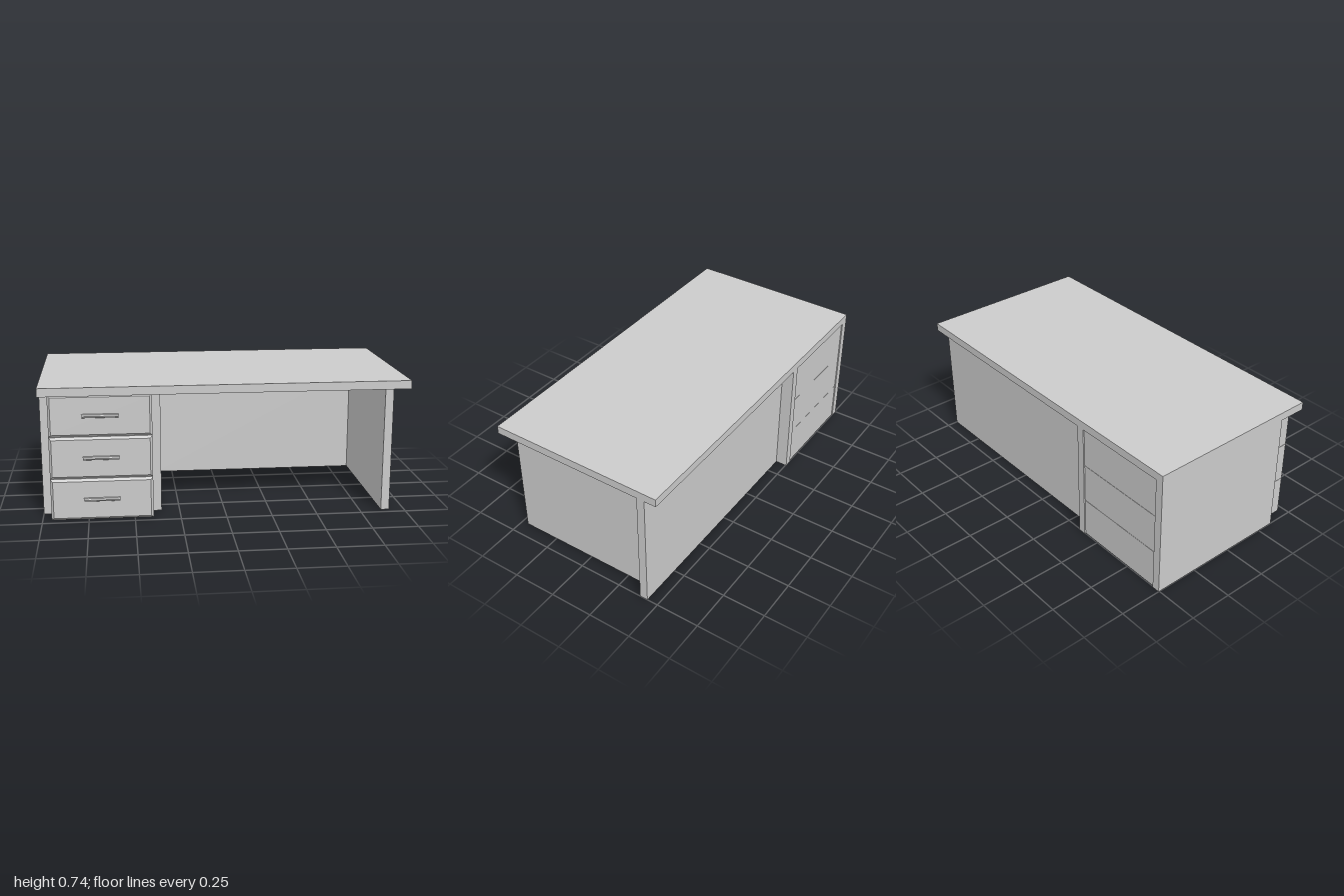
import * as THREE from 'three';

const material = new THREE.MeshStandardMaterial({ color: 0xcccccc, flatShading: true });

// Box given by its min and max on each axis
function panel(name, [x0, x1], [y0, y1], [z0, z1]) {
  const mesh = new THREE.Mesh(new THREE.BoxGeometry(x1 - x0, y1 - y0, z1 - z0), material);
  mesh.position.set((x0 + x1) / 2, (y0 + y1) / 2, (z0 + z1) / 2);
  mesh.name = name;
  return mesh;
}

// Box whose front face is inset to leave a chamfered edge
function drawerGeometry(w, h, d, bevel) {
  const geometry = new THREE.BoxGeometry(w, h, d, 1, 1, 2);
  const p = geometry.attributes.position;
  for (let i = 0; i < p.count; i++) {
    const z = p.getZ(i);
    if (Math.abs(z) < 1e-4) p.setZ(i, d / 2 - bevel);
    if (z > d / 4) {
      p.setX(i, Math.sign(p.getX(i)) * (w / 2 - bevel));
      p.setY(i, Math.sign(p.getY(i)) * (h / 2 - bevel));
    }
  }
  const flat = geometry.toNonIndexed();
  flat.computeVertexNormals();
  return flat;
}

export function createModel() {
  const desk = new THREE.Group();
  desk.name = 'desk';

  // Top, uprights and modesty panel
  desk.add(
    panel('desktop', [-1, 1], [0.697, 0.743], [-0.505, 0.505]),
    panel('pedestalOuterPanel', [-1, -0.954], [0, 0.697], [-0.505, 0.347]),
    panel('pedestalInnerPanel', [-0.396, -0.35], [0, 0.697], [-0.505, 0.347]),
    panel('leftLegPanel', [0.87, 0.916], [0, 0.697], [-0.39, 0.462]),
    panel('modestyPanel', [-0.35, 1], [0, 0.697], [-0.436, -0.39])
  );

  // Three full-depth drawers with bar handles
  const height = 0.232, back = -0.5, front = 0.475;
  const body = drawerGeometry(0.552, height - 0.002, front - back, 0.013);
  const bar = new THREE.CylinderGeometry(0.011, 0.011, 0.195, 8).rotateZ(Math.PI / 2);
  for (let i = 0; i < 3; i++) {
    const drawer = new THREE.Group();
    drawer.name = 'drawer' + (i + 1);
    drawer.position.set(-0.675, 0.003 + height * (i + 0.5), 0);

    const box = new THREE.Mesh(body, material);
    box.name = 'drawerBox';
    box.position.z = (front + back) / 2;

    const handle = new THREE.Mesh(bar, material);
    handle.name = 'drawerHandle';
    handle.position.z = front + 0.001;

    drawer.add(box, handle);
    desk.add(drawer);
  }
  return desk;
}
